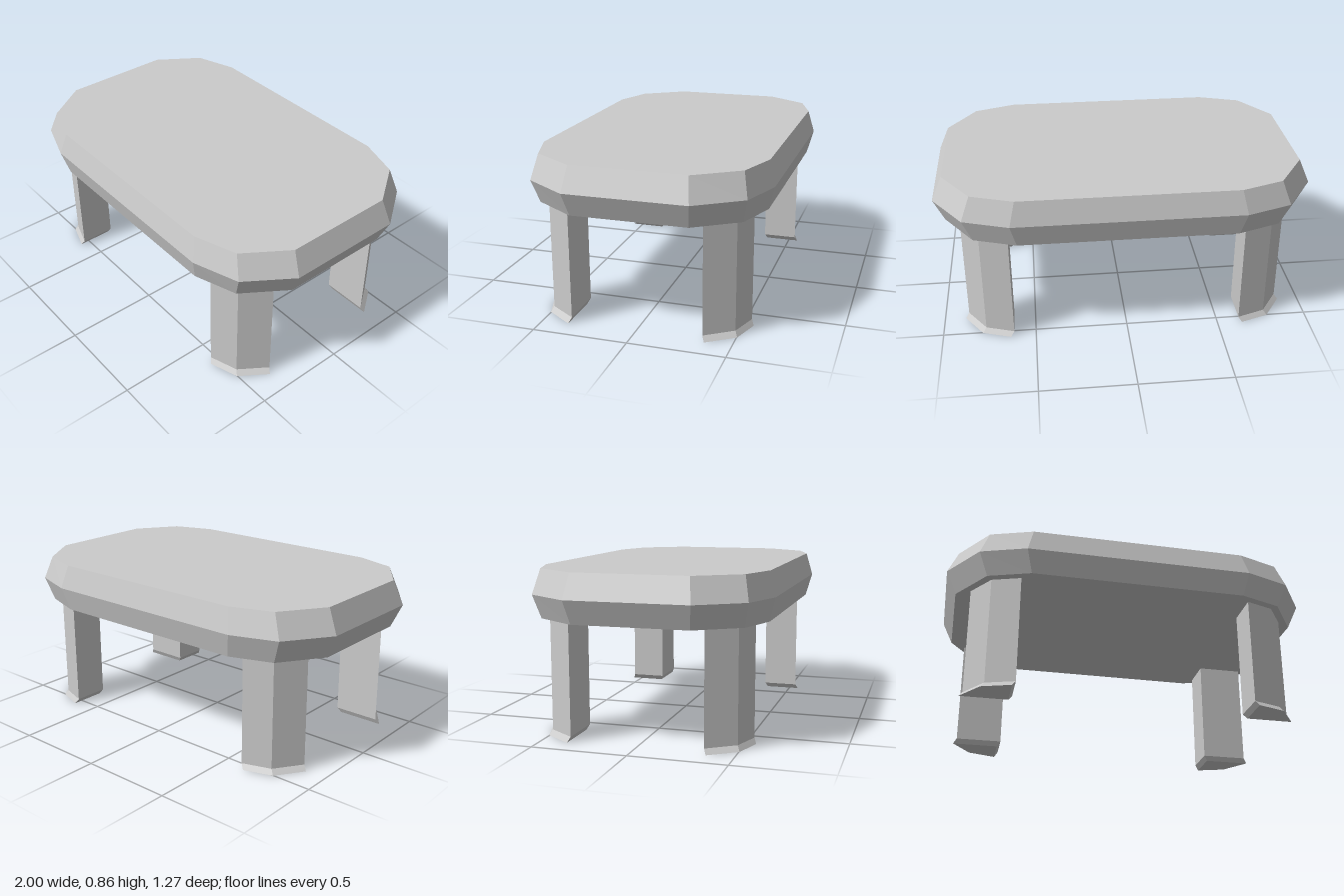
import * as THREE from 'three';

// Closed solid from stacked rings of [x, z] points, listed bottom to top
function loft(rings, heights) {
  const pos = [];
  const n = rings[0].length;
  const put = (r, i) => pos.push(rings[r][i % n][0], heights[r], rings[r][i % n][1]);
  const tri = (...corners) => corners.forEach(([r, i]) => put(r, i));
  for (let r = 0; r < rings.length - 1; r++) {
    for (let i = 0; i < n; i++) {
      tri([r, i], [r + 1, i], [r + 1, i + 1]);
      tri([r, i], [r + 1, i + 1], [r, i + 1]);
    }
  }
  const top = rings.length - 1;
  for (let i = 1; i < n - 1; i++) {
    tri([0, 0], [0, i], [0, i + 1]);
    tri([top, 0], [top, i + 1], [top, i]);
  }
  const geometry = new THREE.BufferGeometry();
  geometry.setAttribute('position', new THREE.Float32BufferAttribute(pos, 3));
  geometry.computeVertexNormals();
  return geometry;
}

// Mirrors a quarter outline (side to front) into a full ring
function fullRing(quarter) {
  const back = [...quarter].reverse();
  return [
    ...quarter,
    ...back.map(([x, z]) => [-x, z]),
    ...quarter.map(([x, z]) => [-x, -z]),
    ...back.map(([x, z]) => [x, -z]),
  ];
}

export function createModel() {
  const group = new THREE.Group();
  const material = new THREE.MeshStandardMaterial({ color: 0xcccccc, flatShading: true });

  const add = (name, rings, heights) => {
    const mesh = new THREE.Mesh(loft(rings, heights), material);
    mesh.name = name;
    group.add(mesh);
  };

  // Thick top with cut corners and a ridge around its middle.
  // Loft rings run from +x towards +z, so each wall faces outward.
  const face = fullRing([[0.945, 0.3], [0.793, 0.525], [0.57, 0.6]]);
  const ridge = fullRing([[1, 0.317], [0.84, 0.552], [0.6, 0.633]]);
  add('tableTop', [face, ridge, face], [0.61, 0.735, 0.863]);

  // Four-sided legs, each with a foot swept slightly outward
  const section = [[0.867, 0.347], [0.768, 0.49], [0.617, 0.54], [0.617, 0.347]];
  for (const sx of [1, -1]) {
    for (const sz of [1, -1]) {
      const place = (dx, dz) => {
        const ring = section.map(([x, z]) => [sx * (x + dx), sz * (z + dz)]);
        return sx * sz > 0 ? ring : ring.reverse();
      };
      const name = (sz > 0 ? 'front' : 'back') + (sx > 0 ? 'Left' : 'Right') + 'Leg';
      add(name, [place(0.019, 0.013), place(0, 0), place(0, 0)], [0, 0.027, 0.62]);
    }
  }
  return group;
}
